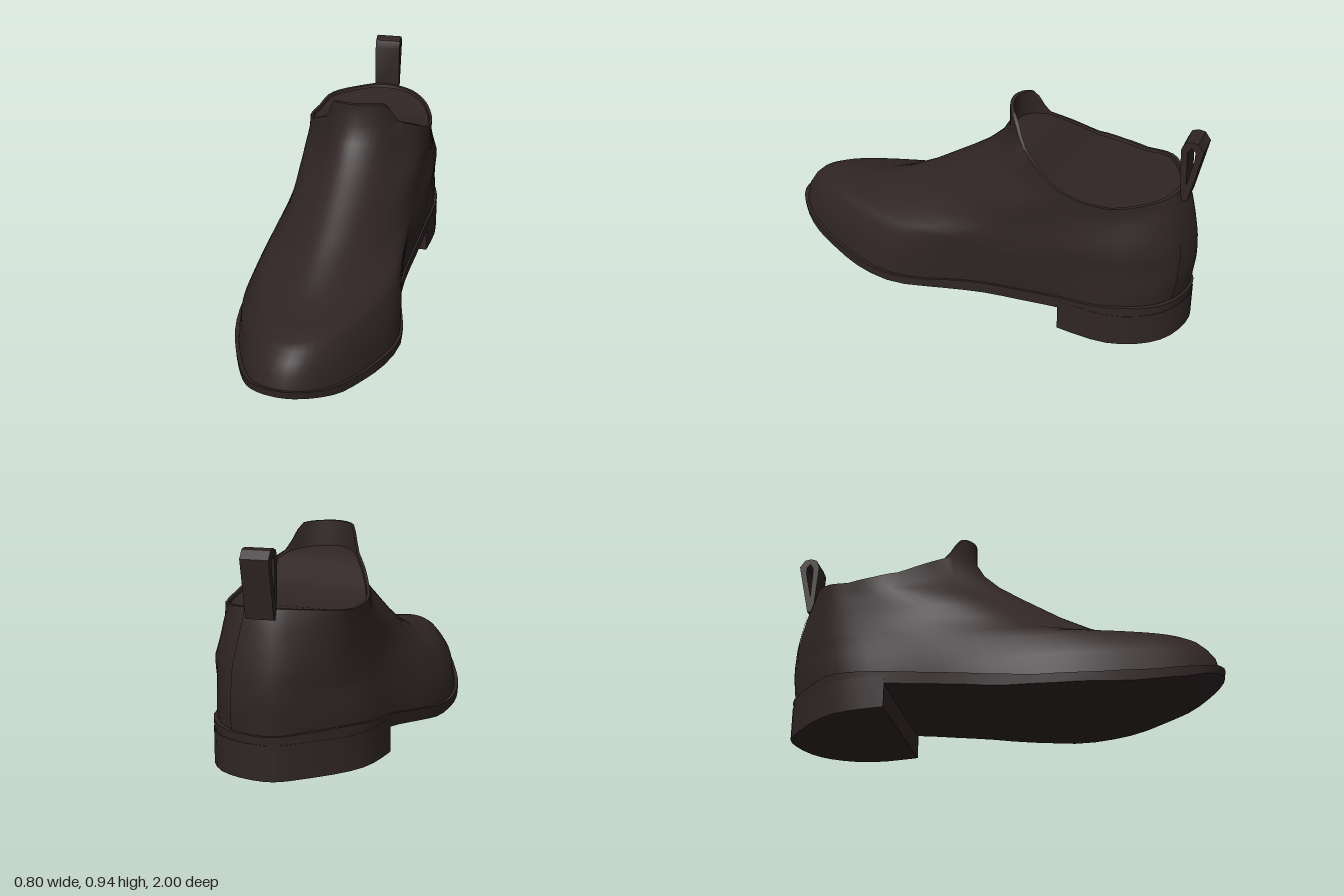
import * as THREE from 'three';
import { toCreasedNormals } from 'three/addons/utils/BufferGeometryUtils.js';

const N = 64; // points around each ring
const V = (x, y, z) => new THREE.Vector3(x, y, z);
const { lerp, clamp, smoothstep } = THREE.MathUtils;

// Piecewise linear curve through [z, y] pairs in rising z
function curveAt(pts, z) {
  if (z <= pts[0][0]) return pts[0][1];
  for (let i = 1; i < pts.length; i++) {
    const [z0, y0] = pts[i - 1], [z1, y1] = pts[i];
    if (z <= z1) return lerp(y0, y1, (z - z0) / (z1 - z0));
  }
  return pts[pts.length - 1][1];
}

// Closed outline from left and right half widths, heel to toe; z is returned as 0..1
function outline(left, right) {
  const at = (x, k) => V(x, 0, (1 - Math.cos(k * Math.PI / 8)) / 2);
  const pts = left.map(at);
  for (let k = 7; k > 0; k--) pts.push(at(right[k], k));
  const curve = new THREE.CatmullRomCurve3(pts, true, 'catmullrom', 0.5);
  return Array.from({ length: N }, (_, i) => curve.getPoint(i / N));
}

// Skin through rings of equal length, running from bottom to top; caps are strips from side to side
function loft(rings, { closed = true, bottom = false, top = false, crease = 0.7 } = {}) {
  const n = rings[0].length, pos = [], idx = [];
  rings.forEach(r => r.forEach(p => pos.push(p.x, p.y, p.z)));
  const m = closed ? n : n - 1;
  for (let j = 0; j < rings.length - 1; j++) {
    for (let i = 0; i < m; i++) {
      const a = j * n + i, b = j * n + (i + 1) % n;
      idx.push(a, b, b + n, a, b + n, a + n);
    }
  }
  const cap = (j, up) => {
    for (let i = 0; i < n / 2 - 1; i++) {
      const [a, b, c, d] = [i, i + 1, n - 2 - i, n - 1 - i].map(k => k + j * n);
      if (up) idx.push(a, b, c, a, c, d);
      else idx.push(a, c, b, a, d, c);
    }
  };
  if (bottom) cap(0, false);
  if (top) cap(rings.length - 1, true);
  const g = new THREE.BufferGeometry();
  g.setAttribute('position', new THREE.Float32BufferAttribute(pos, 3));
  g.setIndex(idx);
  return toCreasedNormals(g, crease);
}

const soleShape = outline(
  [0.08, -0.06, -0.25, -0.31, -0.385, -0.39, -0.305, -0.195, -0.04],
  [0.08, 0.29, 0.40, 0.365, 0.315, 0.365, 0.25, 0.11, -0.04]);
const instepShape = outline(
  [0.08, -0.05, -0.18, -0.23, -0.24, -0.225, -0.155, -0.075, 0],
  [0.08, 0.26, 0.37, 0.395, 0.35, 0.295, 0.20, 0.09, 0]);
const collarShape = outline(
  [0.08, -0.02, -0.16, -0.205, -0.22, -0.165, -0.09, -0.025, 0.06],
  [0.08, 0.21, 0.30, 0.355, 0.37, 0.34, 0.255, 0.17, 0.06]);
const soleTop = [[-0.99, 0.185], [-0.75, 0.195], [-0.45, 0.165], [0, 0.085], [0.2, 0.062], [0.45, 0.064], [0.7, 0.09], [0.9, 0.13], [1, 0.17]];
const soleBottom = [[-0.99, 0.12], [-0.45, 0.11], [0.05, 0.025], [0.3, 0.02], [0.6, 0.03], [0.85, 0.075], [1, 0.135]];
const collarTop = [[-0.92, 0.69], [-0.68, 0.66], [-0.55, 0.672], [-0.44, 0.70], [-0.23, 0.82], [-0.125, 0.84]];

// Sole ring following a height curve, shrunk by factors across and along
function soleRing(heights, kx = 1, kz = kx, lift = 0) {
  return soleShape.map(p => {
    const z = lerp(-0.99, 1, p.z) * kz;
    return V(0.02 + (p.x - 0.02) * kx, curveAt(heights, z) + lift, z);
  });
}

// Ring of the upper: toe z/y, heel z/y, sag at the sides, blend (0 sole, 1 instep, 2 collar)
function upperRing([fz, fy, bz, by, sag, w]) {
  return soleShape.map((s, i) => {
    const n = clamp(s.z, 0, 1), mid = instepShape[i].x;
    const x = w < 1 ? lerp(s.x * 0.975, mid, w) : lerp(mid, collarShape[i].x, w - 1);
    return V(x, lerp(by, fy, n) - sag * Math.sin(Math.PI * n), lerp(bz, fz, n));
  });
}

// Collar edge; rise lifts the tab at the front
function collarRing(k, rise, drop = 0) {
  return collarShape.map(c => {
    const z = lerp(-0.92, -0.125, c.z);
    const y = curveAt(collarTop, z) - drop + rise * smoothstep(c.z, 0.85, 0.95);
    return V(0.08 + (c.x - 0.08) * k, y, -0.53 + (z + 0.53) * k);
  });
}

export function createModel() {
  const group = new THREE.Group();
  const leather = new THREE.MeshStandardMaterial({ color: 0x302526 });
  leather.name = 'dark brown leather';
  const add = (name, geometry) => {
    const mesh = new THREE.Mesh(geometry, leather);
    mesh.name = name;
    group.add(mesh);
  };

  // Upper, from the welt to the collar with its raised front tab, closed by the lining
  const walls = [
    soleRing(soleTop, 0.965, 0.982, -0.01),
    ...[
      [0.965, 0.22, -0.982, 0.26, 0.08, 0.12],
      [0.935, 0.265, -0.988, 0.31, 0.06, 0.3],
      [0.9, 0.3, -0.988, 0.34, 0.045, 0.45],
      [0.86, 0.32, -0.988, 0.365, 0.03, 0.58],
      [0.75, 0.33, -0.986, 0.39, 0.02, 0.7],
      [0.6, 0.35, -0.984, 0.42, 0.005, 0.84],
      [0.45, 0.41, -0.978, 0.46, 0, 1],
      [0.3, 0.49, -0.968, 0.52, 0, 1.35],
      [0.1, 0.62, -0.95, 0.6, 0.035, 1.7],
      [0, 0.69, -0.94, 0.635, 0.06, 1.88],
      [-0.08, 0.765, -0.93, 0.665, 0.085, 1.97],
    ].map(upperRing),
    collarRing(1, 0),
  ];
  add('upper', loft([...walls, collarRing(0.998, 0.1), collarRing(0.955, 0.1), collarRing(0.945, 0, 0.012)],
    { top: true, crease: 0.8 }));

  // Seam strip down the back
  const strip = walls.map(r => [-3, -2, -1, 0, 1, 2, 3].map(i => {
    const p = r[(i + N) % N];
    return V(p.x, p.y, p.z - 0.005);
  }));
  add('heelSeamStrip', loft(strip, { closed: false }));

  // Sole with a thin welt edge
  add('sole', loft([soleRing(soleBottom, 0.995), soleRing(soleTop), soleRing(soleTop, 0.95)],
    { bottom: true, crease: 0.6 }));

  // Heel block, the rear of the sole outline cut off straight
  const heelPts = [];
  for (let i = 0; i < N; i++) {
    const p = soleShape[(i + N / 2) % N], z = lerp(-0.99, 1, p.z);
    if (z < -0.46) heelPts.push(new THREE.Vector2(p.x, -z));
  }
  heelPts.unshift(new THREE.Vector2(heelPts[0].x, 0.465));
  heelPts.push(new THREE.Vector2(heelPts[heelPts.length - 1].x, 0.465));
  const heel = new THREE.ExtrudeGeometry(new THREE.Shape(heelPts), { depth: 0.15, bevelEnabled: false });
  heel.rotateX(-Math.PI / 2);
  add('heel', toCreasedNormals(heel, 0.6));

  // Pull loop at the back
  const toVec = ([z, y]) => new THREE.Vector2(z, y);
  const loopShape = new THREE.Shape([[-0.948, 0.65], [-0.92, 0.65], [-0.903, 0.89], [-0.918, 0.925],
    [-0.945, 0.935], [-0.975, 0.93], [-1, 0.895]].map(toVec));
  loopShape.holes.push(new THREE.Path([[-0.938, 0.73], [-0.964, 0.85], [-0.965, 0.89],
    [-0.947, 0.908], [-0.932, 0.88]].map(toVec)));
  const loop = new THREE.ExtrudeGeometry(loopShape, { depth: 0.12, bevelEnabled: false });
  loop.rotateY(-Math.PI / 2);
  loop.translate(0.16, 0, 0);
  add('pullLoop', toCreasedNormals(loop, 0.6));

  return group;
}
